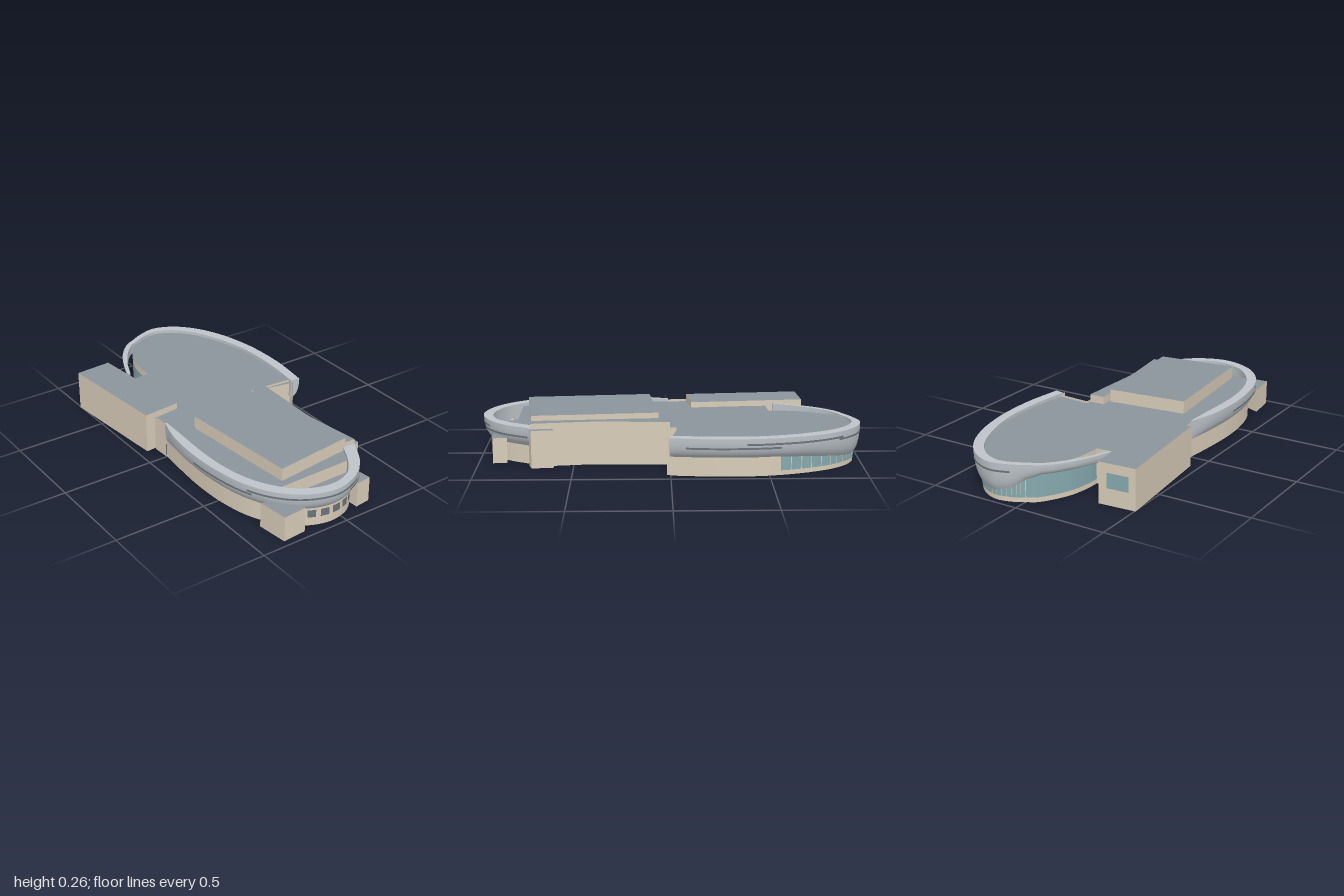
import * as THREE from 'three';
import { toCreasedNormals } from 'three/addons/utils/BufferGeometryUtils.js';

const mat = (color) => new THREE.MeshStandardMaterial({ color, side: THREE.DoubleSide });
const wallMat = mat(0xd8ccb9), roofMat = mat(0x8b949b), bandMat = mat(0xbcc3c8);
const glassMat = mat(0x86a9ae), darkMat = mat(0x6b737b);
const ROOF = 0.188, TOP = 0.205;

// plan curve through [x, z] pairs
const plan = (pts) => new THREE.CatmullRomCurve3(pts.map(([x, z]) => new THREE.Vector3(x, 0, z)));

// rim = outer and inner plan curves sharing one parameter k (control point index)
function makeRim(outer, inner, bottoms) {
  const o = plan(outer), i = plan(inner), n = outer.length - 1;
  return {
    n,
    at: (k, w, y = 0) => o.getPoint(k / n).lerp(i.getPoint(k / n), w).setY(y),
    bottom: (k) => {
      const a = Math.min(Math.floor(k), n - 1);
      return THREE.MathUtils.lerp(bottoms[a], bottoms[a + 1], k - a);
    },
  };
}

const frontRim = makeRim(
  [[-0.4, 0], [-0.44, 0.15], [-0.455, 0.35], [-0.44, 0.55], [-0.4, 0.72], [-0.33, 0.85],
    [-0.22, 0.95], [-0.07, 0.998], [0.07, 0.96], [0.18, 0.87], [0.27, 0.72]],
  [[-0.39, 0], [-0.395, 0.15], [-0.403, 0.35], [-0.393, 0.53], [-0.355, 0.69], [-0.29, 0.81],
    [-0.2, 0.9], [-0.07, 0.945], [0.05, 0.92], [0.13, 0.84], [0.2, 0.72]],
  Array(11).fill(0.1));

const backRim = makeRim(
  [[0.475, 0.01], [0.5, -0.2], [0.5, -0.38], [0.485, -0.52], [0.44, -0.7], [0.36, -0.86], [0.26, -0.96],
    [0.15, -1], [0.05, -0.975], [-0.02, -0.94], [-0.09, -0.9], [-0.17, -0.81], [-0.23, -0.7], [-0.275, -0.58]],
  [[0.425, 0], [0.445, -0.2], [0.447, -0.38], [0.435, -0.5], [0.39, -0.67], [0.315, -0.83], [0.23, -0.92],
    [0.14, -0.957], [0.06, -0.945], [0, -0.915], [-0.07, -0.88], [-0.15, -0.79], [-0.21, -0.69], [-0.258, -0.58]],
  [0.1, 0.1, 0.1, 0.1, 0.09, 0.07, 0.05, 0.05, 0.075, 0.12, 0.15, 0.155, 0.16, 0.16]);

// skin over rows of points
function loft(rows) {
  const m = rows[0].length, index = [];
  for (let r = 0; r < rows.length - 1; r++) {
    for (let c = 0; c < m - 1; c++) {
      const a = r * m + c, b = a + m;
      index.push(a, b, a + 1, b, b + 1, a + 1);
    }
  }
  const g = new THREE.BufferGeometry().setFromPoints(rows.flat());
  g.setIndex(index);
  g.computeVertexNormals();
  return toCreasedNormals(g, 0.6);
}

const range = (a, b, n) => Array.from({ length: n + 1 }, (_, i) => a + ((b - a) * i) / n);

export function createModel() {
  const model = new THREE.Group();
  const add = (name, geometry, material) => {
    const mesh = new THREE.Mesh(geometry, material);
    mesh.name = name;
    model.add(mesh);
  };

  const flatShape = (pts) => new THREE.Shape(pts.map(([x, z]) => new THREE.Vector2(x, -z)));
  const sheet = (name, pts, y) =>
    add(name, new THREE.ShapeGeometry(flatShape(pts)).rotateX(-Math.PI / 2).translate(0, y, 0), roofMat);
  // upright block with a grey top and plaster sides
  const block = (name, pts, y0, y1) =>
    add(name, new THREE.ExtrudeGeometry(flatShape(pts), { depth: y1 - y0, bevelEnabled: false })
      .rotateX(-Math.PI / 2).translate(0, y0, 0), [roofMat, wallMat]);
  const wall = (name, pts, y0, y1, material = wallMat) =>
    add(name, loft(pts.map(([x, z]) => [new THREE.Vector3(x, y1, z), new THREE.Vector3(x, y0, z)])), material);
  // vertical strip following a rim
  const strip = (name, rim, k0, k1, w, y0, y1, material) => {
    const n = Math.max(2, Math.ceil((k1 - k0) * 6));
    add(name, loft(range(k0, k1, n).map((k) => [
      rim.at(k, w, typeof y1 === 'function' ? y1(k) : y1), rim.at(k, w, y0)])), material);
  };
  const rimPoints = (rim, k0, k1) => range(k0, k1, 40).map((k) => rim.at(k, 1)).map((p) => [p.x, p.z]);

  // bulging metal bands, tucked in towards the bottom, with closed ends
  const profile = [[0, 0], [0.15, 0.01], [0.3, 0.03], [0.45, 0.08], [0.6, 0.15], [0.75, 0.27], [0.88, 0.44], [1, 0.7]];
  const band = (name, rim) => {
    const section = (k) => {
      const b = rim.bottom(k);
      const pts = profile.map(([f, w]) => rim.at(k, w, TOP + (b - TOP) * f));
      return [rim.at(k, 1, TOP), ...pts, rim.at(k, 1, b), rim.at(k, 1, TOP)];
    };
    add(name, loft(range(0, rim.n, rim.n * 6).map(section)), bandMat);
    for (const k of [0, rim.n]) {
      const s = section(k);
      add(name + 'End', loft([s, s.map(() => rim.at(k, 0.5, (TOP + rim.bottom(k)) / 2))]), bandMat);
    }
  };
  band('frontBand', frontRim);
  band('backBand', backRim);

  // dark slits along the bands
  for (const [rim, k0, k1, y] of [
    [frontRim, 4, 8.2, 0.175], [frontRim, 7.7, 9.9, 0.155], [frontRim, 2, 4.2, 0.16],
    [backRim, 0.4, 3.2, 0.155], [backRim, 2, 5.2, 0.175], [backRim, 5, 8, 0.165],
  ]) strip('bandSlit', rim, k0, k1, -0.03, y - 0.005, y + 0.005, darkMat);

  // curved lower walls under the bands
  strip('frontWall', frontRim, 0, 10, 0.75, 0, 0.105, wallMat);
  strip('backWall', backRim, 0, 9, 0.75, 0, (k) => backRim.bottom(k) + 0.005, wallMat);

  // front windows
  for (const [k0, k1] of [[6.15, 6.44], [6.6, 6.92], [7.08, 7.44], [7.6, 7.92], [8.06, 8.28]]) {
    strip('frontWindow', frontRim, k0, k1, 0.69, 0.047, 0.088, darkMat);
  }
  // row of glass panes round the back
  for (let i = 0; i < 18; i++) {
    const k = 3.3 + i * 0.315;
    strip('backGlass', backRim, k, k + 0.29, 0.69, 0.025, backRim.bottom, glassMat);
  }

  // recessed glazed wall behind the free end of the back band
  const recess = plan([[0, -0.92], [-0.04, -0.9], [-0.1, -0.82], [-0.145, -0.72], [-0.165, -0.6], [-0.165, -0.55]])
    .getPoints(24).map((p) => [p.x, p.z]);
  wall('recessBase', recess, 0, 0.025);
  wall('recessGlass', recess, 0.025, 0.15, glassMat);
  wall('recessHead', recess, 0.15, ROOF);

  // straight and gently curved side walls
  const sideCurve = plan([[0.24, 0], [0.235, 0.2], [0.23, 0.4], [0.247, 0.55], [0.27, 0.72]])
    .getPoints(20).map((p) => [p.x, p.z]);
  wall('courtWall', [[0.435, -0.02], [0.24, -0.035], [0.24, 0]], 0, 0.2);
  wall('courtReturn', [[0.435, -0.02], [0.425, 0.02]], 0, 0.2);
  wall('leftWall', sideCurve, 0, TOP);
  wall('rightWall', [[-0.165, -0.55], [-0.28, -0.54]], 0, ROOF);
  wall('rightLink', [[-0.25, -0.12], [-0.4, -0.1], [-0.395, 0]], 0, 0.2);

  // main roof and lower front terrace
  sheet('mainRoof', [
    [0.24, -0.035], ...rimPoints(backRim, 0, 9), ...recess.slice(2), [-0.28, -0.54], [-0.25, -0.12], [-0.4, -0.1],
    ...rimPoints(frontRim, 0, 5), ...rimPoints(frontRim, 9.3, 10), ...sideCurve.slice().reverse(),
  ], ROOF);
  sheet('frontTerrace', rimPoints(frontRim, 5, 9.3), 0.12);
  wall('terraceWall', [[-0.292, 0.807], [0.152, 0.807]], 0.1, ROOF);

  // blocks standing on and beside the building
  block('roofHall', [[-0.285, 0.105], [0.15, 0.06], [0.21, 0.72], [-0.225, 0.77]], ROOF, 0.257);
  block('leftParapet', [[0.155, 0], ...sideCurve, [0.21, 0.72]], 0.18, 0.23);
  block('sideBlock', [[-0.505, -0.73], [-0.305, -0.745], [-0.245, -0.125], [-0.45, -0.105]], 0, 0.218);
  block('frontRightPier', [[-0.375, 0.8], [-0.355, 0.965], [-0.225, 0.955], [-0.235, 0.86]], 0, 0.135);
  block('frontLeftPier', [[0.115, 0.935], [0.2, 0.925], [0.19, 0.85], [0.11, 0.86]], 0, 0.135);
  block('leftPier', [[0.25, 0.61], [0.287, 0.6], [0.3, 0.715], [0.25, 0.73]], 0, 0.2);
  wall('sideBlockWindow', [[-0.468, -0.7355], [-0.35, -0.7445]], 0.09, 0.17, glassMat);

  return model;
}
